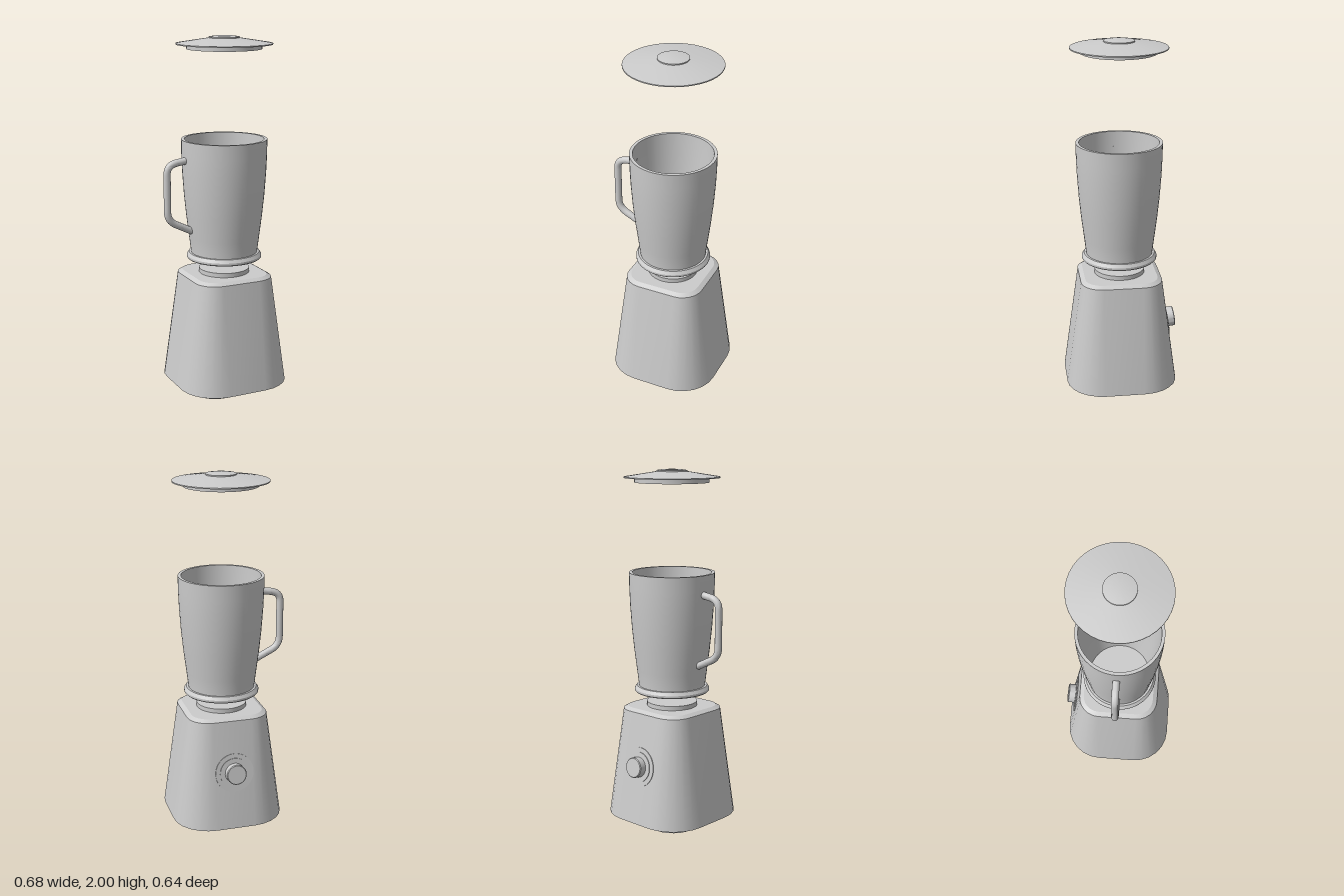
import * as THREE from 'three';
import { toCreasedNormals } from 'three/addons/utils/BufferGeometryUtils.js';

const CX = 0.02, CZ = 0.004; // axis of the body; the handle sits off to one side
const material = new THREE.MeshStandardMaterial({ color: 0xcccccc });

function add(parent, name, geometry) {
  const mesh = new THREE.Mesh(toCreasedNormals(geometry, 0.5), material);
  mesh.name = name;
  parent.add(mesh);
  return mesh;
}

function lathe(profile, segments = 40) {
  return new THREE.LatheGeometry(profile.map(([r, y]) => new THREE.Vector2(r, y)), segments);
}

// Rounded-square sections [y, half width], joined from bottom to top
function roundedLoft(sections) {
  const steps = 6, perRing = 4 * (steps + 1);
  const positions = [], index = [];
  for (const [y, half] of sections) {
    const flat = Math.min(0.11, half), radius = half - flat;
    for (let q = 0; q < 4; q++) {
      const mid = (q + 0.5) * Math.PI / 2;
      for (let s = 0; s <= steps; s++) {
        const a = (q + s / steps) * Math.PI / 2;
        positions.push(
          Math.sign(Math.cos(mid)) * flat + Math.cos(a) * radius, y,
          Math.sign(Math.sin(mid)) * flat + Math.sin(a) * radius);
      }
    }
  }
  for (let i = 0; i < sections.length - 1; i++) {
    for (let j = 0; j < perRing; j++) {
      const a = i * perRing + j, b = i * perRing + (j + 1) % perRing;
      const c = a + perRing, d = b + perRing;
      index.push(a, c, b, b, c, d);
    }
  }
  const geometry = new THREE.BufferGeometry();
  geometry.setAttribute('position', new THREE.Float32BufferAttribute(positions, 3));
  geometry.setIndex(index);
  return geometry;
}

export function createModel() {
  const model = new THREE.Group();
  model.name = 'blender';
  const body = new THREE.Group();
  body.name = 'body';
  body.position.set(CX, 0, CZ);
  model.add(body);

  // Motor base with its inset foot and drive collar
  add(body, 'foot', roundedLoft([[0, 0], [0, 0.243], [0.04, 0.243]]));
  add(body, 'motorBase', roundedLoft([
    [0.035, 0], [0.035, 0.316], [0.655, 0.23], [0.67, 0.205], [0.67, 0]]));
  add(body, 'driveCollar', lathe([[0.143, 0.66], [0.143, 0.695], [0, 0.695]]));

  // Speed dial on the sloping back wall
  const dial = new THREE.Group();
  dial.name = 'speedDial';
  dial.position.set(0, 0.36, -0.271);
  dial.rotation.x = -Math.PI / 2 + 0.137;
  body.add(dial);
  const dialParts = [
    ['dialOuterPlate', 0.111, 0.004], ['dialInnerPlate', 0.085, 0.008]];
  for (const [name, radius, height] of dialParts) {
    add(dial, name, lathe([[radius, -0.004], [radius, height], [0, height]]));
  }
  add(dial, 'dialKnob', lathe([[0.057, 0], [0.057, 0.046], [0.053, 0.05], [0, 0.05]]));

  // Hollow jar with a bottom ring
  add(body, 'jar', lathe([
    [0, 0.76], [0.188, 0.76], [0.188, 0.79], [0.199, 0.88], [0.214, 1.0],
    [0.226, 1.12], [0.235, 1.25], [0.239, 1.35], [0.24, 1.435],
    [0.222, 1.435], [0.217, 1.25], [0.197, 1.0], [0.172, 0.8], [0, 0.8]], 48));
  add(body, 'jarRing', lathe([
    [0, 0.755], [0.207, 0.755], [0.212, 0.76], [0.212, 0.772],
    [0.2, 0.79], [0.18, 0.79]], 48));

  // Handle: straight runs joined by rounded bends
  const v = (x, y) => new THREE.Vector3(x, y, 0.002);
  const path = new THREE.CurvePath();
  path.add(new THREE.LineCurve3(v(-0.195, 1.33), v(-0.265, 1.32)));
  path.add(new THREE.QuadraticBezierCurve3(v(-0.265, 1.32), v(-0.325, 1.312), v(-0.325, 1.26)));
  path.add(new THREE.LineCurve3(v(-0.325, 1.26), v(-0.325, 1.05)));
  path.add(new THREE.QuadraticBezierCurve3(v(-0.325, 1.05), v(-0.325, 1.0), v(-0.28, 0.975)));
  path.add(new THREE.LineCurve3(v(-0.28, 0.975), v(-0.18, 0.926)));
  add(model, 'handle', new THREE.TubeGeometry(path, 48, 0.02, 14));

  // Lid floating above the jar: plug, sloping brim and low knob
  add(body, 'lidPlug', lathe([[0, 1.928], [0.207, 1.928], [0.207, 1.958]]));
  add(body, 'lidBrim', lathe([
    [0, 1.953], [0.266, 1.953], [0.266, 1.959], [0.085, 1.988], [0, 1.99]]));
  add(body, 'lidKnob', lathe([
    [0.085, 1.985], [0.085, 1.994], [0.05, 1.999], [0, 2.0]]));

  return model;
}
